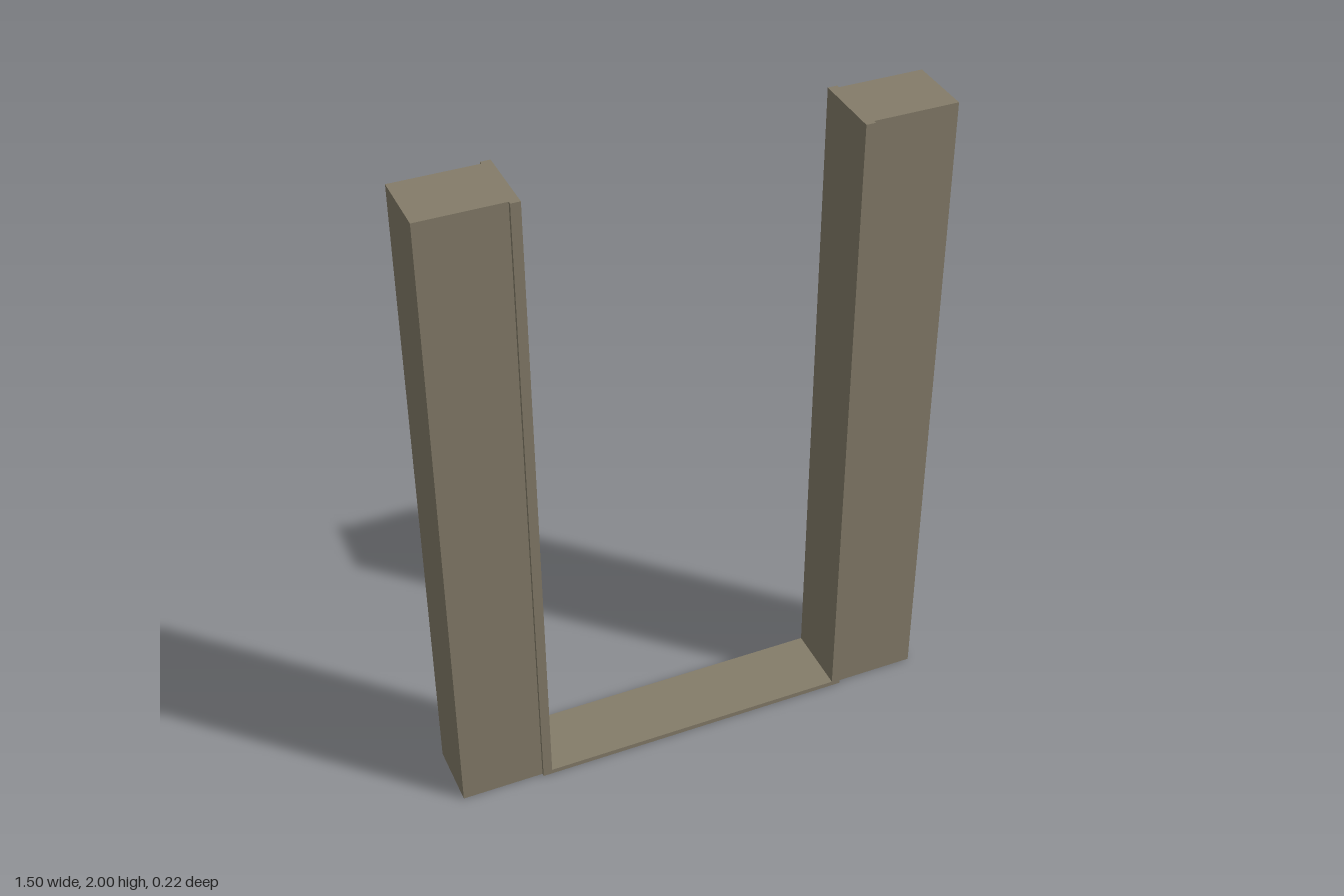
import * as THREE from 'three';

export function createModel() {
  const model = new THREE.Group();
  model.name = 'doorFrame';

  const stone = new THREE.MeshStandardMaterial({ color: 0x847c69 });
  stone.name = 'taupe';
  const dark = new THREE.MeshStandardMaterial({ color: 0x050505 });
  dark.name = 'black';

  // Box given by its low and high corners
  function box(name, [x0, y0, z0], [x1, y1, z1], material) {
    const geometry = new THREE.BoxGeometry(x1 - x0, y1 - y0, z1 - z0);
    geometry.translate((x0 + x1) / 2, (y0 + y1) / 2, (z0 + z1) / 2);
    const mesh = new THREE.Mesh(geometry, material);
    mesh.name = name;
    model.add(mesh);
  }

  // Wall posts, with a dark underside
  const postMaterials = [stone, stone, stone, dark, stone, stone];
  box('leftPost', [0.5, 0, -0.1], [0.75, 2, 0.1], postMaterials);
  box('rightPost', [-0.75, 0, -0.1], [-0.5, 2, 0.1], postMaterials);

  // Slightly deeper lining: two jambs and the sill between them
  box('leftJamb', [0.472, 0, -0.11], [0.5, 2, 0.11], stone);
  box('rightJamb', [-0.5, 0, -0.11], [-0.472, 2, 0.11], stone);
  box('sill', [-0.472, 0, -0.11], [0.472, 0.015, 0.11], stone);

  return model;
}
